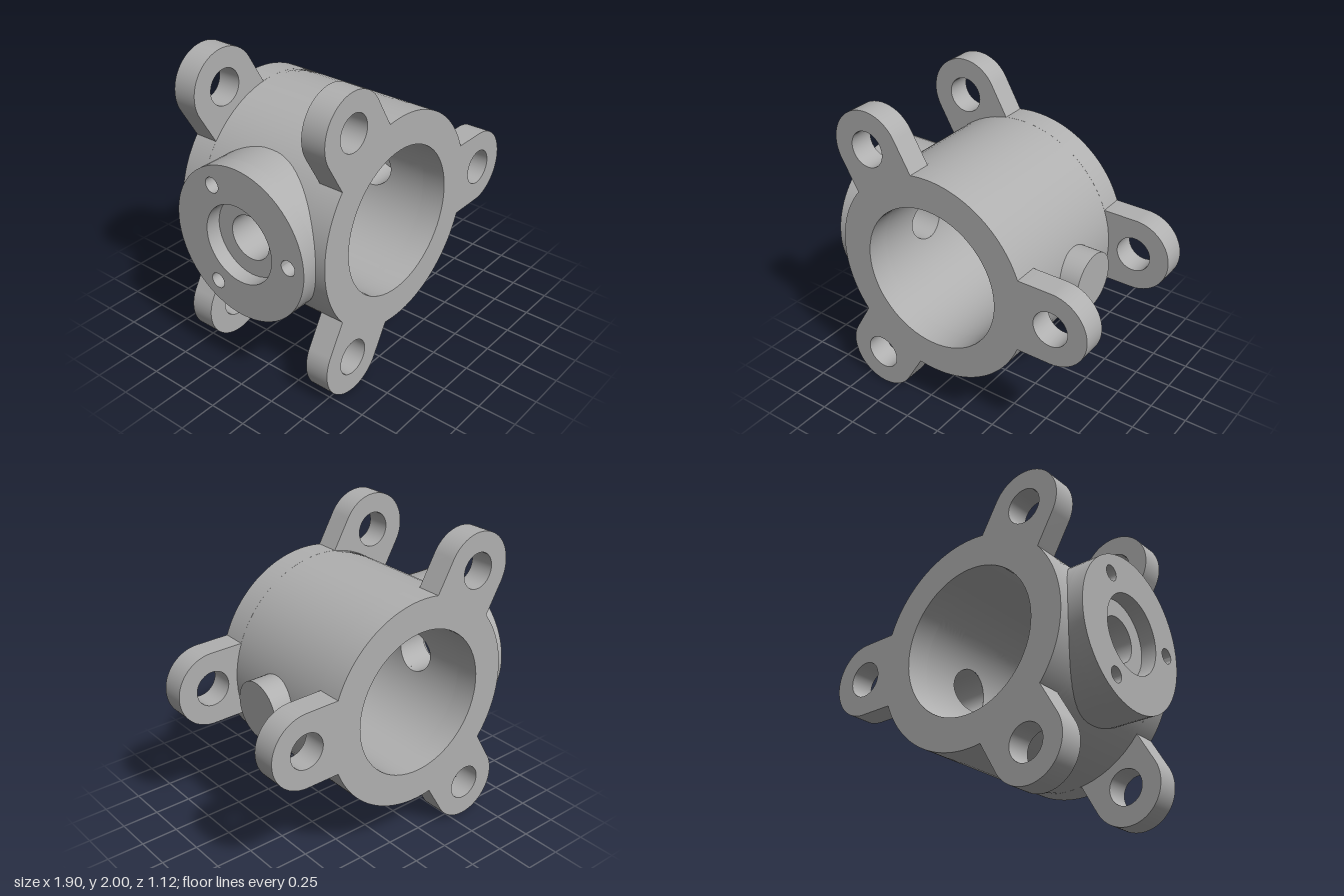
import * as THREE from 'three';
import { toCreasedNormals } from 'three/addons/utils/BufferGeometryUtils.js';

const R = 0.69, BORE = 0.48, HALF = 0.56, FLANGE = 0.16;
const LUG_R = 0.245, LUG_DIST = 0.87, PORT = 0.145;
const TURN = Math.PI * 2, THIRD = TURN / 3;

const grey = new THREE.MeshStandardMaterial({ color: 0xb0b0b0 });
grey.name = 'castGrey';

function part(name, geometry) {
  const mesh = new THREE.Mesh(geometry, grey);
  mesh.name = name;
  return mesh;
}

function circleHole(x, y, r) {
  return new THREE.Path().absarc(x, y, r, 0, TURN, true);
}

function extrude(shape, depth) {
  const g = new THREE.ExtrudeGeometry(shape, { depth, bevelEnabled: false, curveSegments: 32 });
  return toCreasedNormals(g, 0.6);
}

// Ring plate with three drilled lugs
function flangeGeometry() {
  const shape = new THREE.Shape();
  const meet = Math.asin(LUG_R / R);
  for (let k = 0; k < 3; k++) {
    const a = k * THIRD, cx = LUG_DIST * Math.cos(a), cy = LUG_DIST * Math.sin(a);
    shape.absarc(cx, cy, LUG_R, a - Math.PI / 2, a + Math.PI / 2, false);
    shape.absarc(0, 0, R, a + meet, a + THIRD - meet, false);
    shape.holes.push(circleHole(cx, cy, 0.116));
  }
  shape.holes.push(circleHole(0, 0, BORE));
  return extrude(shape, FLANGE);
}

// Half a cylinder wall (+x side) with a round side opening, lofted from opening to rim
function wallGeometry(radius, opening, outward) {
  const n = 32, rows = 12, count = 4 * n, h = HALF - FLANGE;
  const pos = [], nor = [], index = [];
  const corners = [[h, -1], [h, 1], [-h, 1], [-h, -1]];
  const sign = outward ? 1 : -1;
  for (let j = 0; j <= rows; j++) {
    for (let i = 0; i < count; i++) {
      const a = corners[Math.floor(i / n)], b = corners[(Math.floor(i / n) + 1) % 4], t = (i % n) / n;
      const zRim = a[0] + (b[0] - a[0]) * t;
      const thRim = (a[1] + (b[1] - a[1]) * t) * Math.PI / 2;
      const phi = Math.atan2(thRim * radius, zRim);
      const thIn = Math.asin(opening * Math.sin(phi) / radius), zIn = opening * Math.cos(phi);
      const v = j / rows, th = thIn + (thRim - thIn) * v, z = zIn + (zRim - zIn) * v;
      pos.push(radius * Math.cos(th), radius * Math.sin(th), z);
      nor.push(sign * Math.cos(th), sign * Math.sin(th), 0);
      if (j < rows) {
        const p = j * count + i, q = j * count + (i + 1) % count;
        const r = p + count, s = q + count;
        if (outward) index.push(p, q, r, q, s, r);
        else index.push(p, r, q, q, r, s);
      }
    }
  }
  const g = new THREE.BufferGeometry();
  g.setAttribute('position', new THREE.Float32BufferAttribute(pos, 3));
  g.setAttribute('normal', new THREE.Float32BufferAttribute(nor, 3));
  g.setIndex(index);
  return g;
}

// Turned part along +x; profile points are [radius, x]
function turned(profile) {
  const pts = profile.map(([r, x]) => new THREE.Vector2(r, x));
  return new THREE.LatheGeometry(pts, 48).rotateZ(-Math.PI / 2);
}

// Port lining whose mouth follows the curve of the bore
function portGeometry(profile) {
  const g = turned([...profile, [PORT, 0.4]]);
  const p = g.attributes.position;
  for (let i = 0; i < p.count; i++) {
    if (p.getX(i) < 0.41) p.setX(i, Math.sqrt(BORE * BORE - p.getY(i) ** 2));
  }
  return toCreasedNormals(g, 0.6);
}

export function createModel() {
  const model = new THREE.Group();
  model.name = 'flangedHousing';
  const body = new THREE.Group();
  body.name = 'housing';
  body.position.set(-0.165, 1, 0);
  model.add(body);

  // End flanges
  const flange = flangeGeometry();
  const front = part('frontFlange', flange);
  front.position.z = HALF - FLANGE;
  const back = part('backFlange', flange);
  back.position.z = -HALF;
  body.add(front, back);

  // Barrel walls between the flanges
  body.add(
    part('leftOuterWall', wallGeometry(R, 0.16, true)),
    part('rightOuterWall', wallGeometry(R, 0.27, true).rotateY(Math.PI)),
    part('leftBoreWall', wallGeometry(BORE, PORT, false)),
    part('rightBoreWall', wallGeometry(BORE, PORT, false).rotateY(Math.PI))
  );

  // Round side boss with counterbore and three screw holes
  const base = new THREE.Shape().absarc(0, 0, 0.495, 0, TURN, false);
  base.holes.push(circleHole(0, 0, PORT));
  const face = new THREE.Shape().absarc(0, 0, 0.495, 0, TURN, false);
  face.holes.push(circleHole(0, 0, 0.255));
  for (let k = 0; k < 3; k++) {
    face.holes.push(circleHole(0.378 * Math.cos(k * THIRD), 0.378 * Math.sin(k * THIRD), 0.05));
  }
  body.add(
    part('bossBase', extrude(base, 0.205).rotateY(-Math.PI / 2).translate(-0.485, 0, 0)),
    part('bossFace', extrude(face, 0.1).rotateY(-Math.PI / 2).translate(-0.69, 0, 0)),
    part('bossPort', portGeometry([[PORT, 0.485]]).rotateY(Math.PI))
  );

  // Small closed stub opposite the boss, with a blind port inside
  body.add(
    part('stub', toCreasedNormals(turned([[0.185, 0.6], [0.185, 0.817], [0, 0.817]]), 0.6)),
    part('stubPort', portGeometry([[0, 0.72], [PORT, 0.72]]))
  );
  return model;
}
